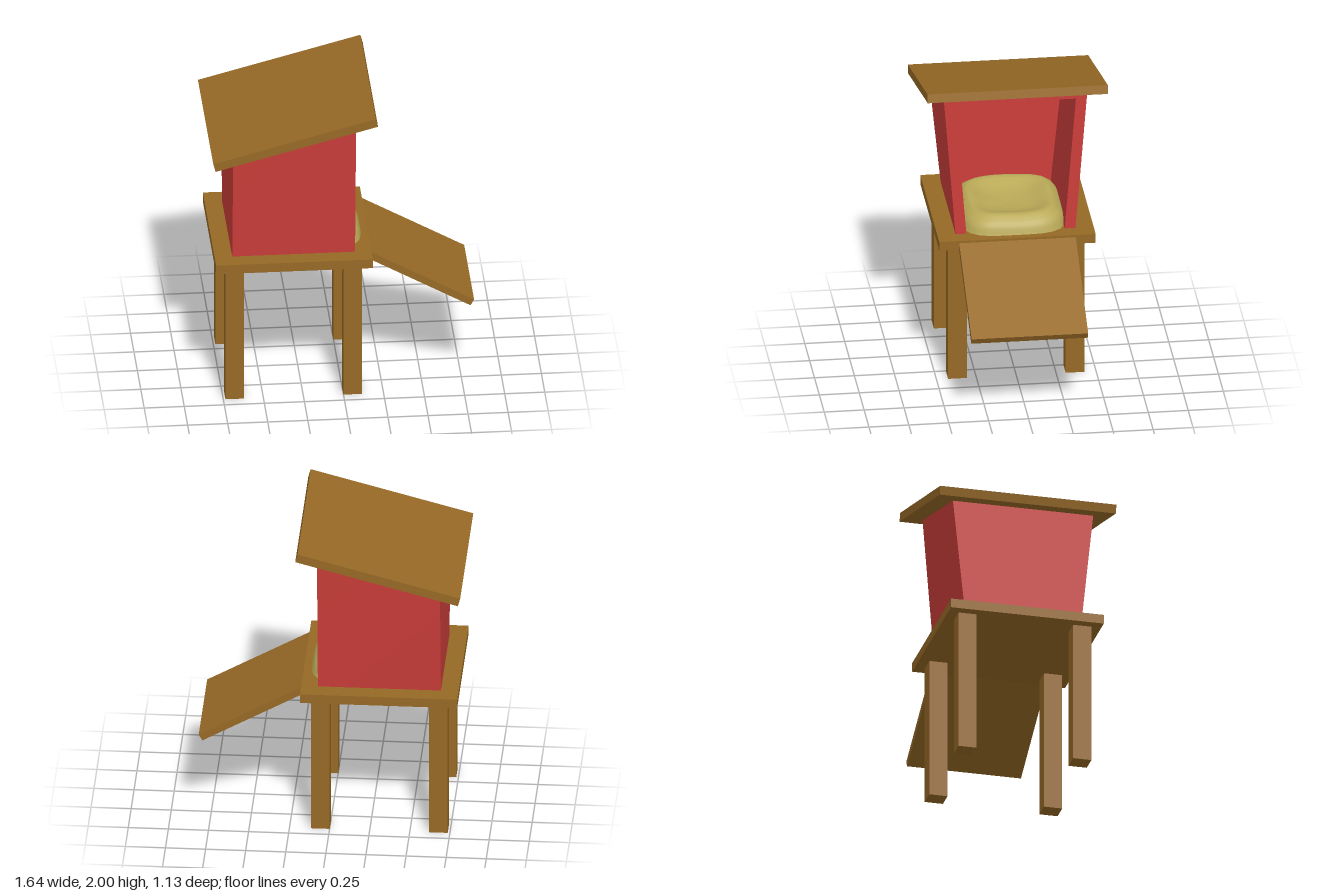
import * as THREE from 'three';
import { ParametricGeometry } from 'three/addons/geometries/ParametricGeometry.js';

const wood = new THREE.MeshStandardMaterial({ color: 0x966926 });
const red = new THREE.MeshStandardMaterial({ color: 0xcc3e3a });
const straw = new THREE.MeshStandardMaterial({ color: 0xb9a957, side: THREE.DoubleSide });

const FLOOR = 0.975, BACK = -0.69, FRONT = 0.077, WALL = 0.068;
const roofLine = x => 1.7 + 0.275 * (x - BACK);
const ceilingLine = x => 1.865 + 0.241 * (x - FRONT);
// Half width of the hut, flaring towards the roof line
const halfWidth = (x, y) => 0.376 + 0.074 * (y - FLOOR) / (roofLine(x) - FLOOR);

export function createModel() {
  const model = new THREE.Group();

  function add(name, geometry, material, x = 0, y = 0, z = 0, tilt = 0) {
    const mesh = new THREE.Mesh(geometry, material);
    mesh.name = name;
    mesh.position.set(x, y, z);
    mesh.rotation.z = tilt;
    model.add(mesh);
    return mesh;
  }

  // A box whose corners (a, b, c, each 0 or 1) are moved by a rule
  function shapedBox(rule) {
    const geometry = new THREE.BoxGeometry(1, 1, 1);
    const p = geometry.attributes.position;
    for (let i = 0; i < p.count; i++) {
      p.setXYZ(i, ...rule(p.getX(i) + 0.5, p.getY(i) + 0.5, p.getZ(i) + 0.5));
    }
    geometry.computeVertexNormals();
    return geometry;
  }

  // Legs and platform
  for (const x of [-0.678, 0.058]) {
    for (const z of [-0.368, 0.368]) {
      add('leg', new THREE.BoxGeometry(0.117, 0.92, 0.117), wood, x, 0.46, z);
    }
  }
  add('platform', new THREE.BoxGeometry(0.98, 0.06, 0.98), wood, -0.31, 0.945, 0);

  // Flaring side walls
  for (const side of [-1, 1]) {
    add('sideWall', shapedBox((a, b, c) => {
      const x = BACK + a * (FRONT - BACK);
      const y = FLOOR + b * (roofLine(x) - FLOOR);
      const outer = side > 0 ? c : 1 - c;
      return [x, y, side * (halfWidth(x, y) - (1 - outer) * WALL)];
    }), red);
  }

  // Back wall and sloping ceiling between the side walls
  add('backWall', shapedBox((a, b, c) => {
    const x = BACK + a * 0.06;
    const y = FLOOR + b * (roofLine(x) - FLOOR);
    return [x, y, (2 * c - 1) * (halfWidth(x, y) - WALL)];
  }), red);
  add('ceiling', shapedBox((a, b, c) => {
    const x = BACK + 0.06 + a * (FRONT - BACK - 0.06);
    const y = b ? roofLine(x) : ceilingLine(x);
    return [x, y, (2 * c - 1) * (halfWidth(x, y) - WALL)];
  }), red);

  // Overhanging roof and entrance ramp
  add('roof', new THREE.BoxGeometry(1.05, 0.056, 1.13), wood, -0.31, 1.8375, 0, 0.262);
  add('ramp', new THREE.BoxGeometry(0.735, 0.046, 0.73), wood, 0.489, 0.76, 0, -0.512);

  // Straw nest: a rounded mound with a lumpy rim and a hollow middle
  const profile = new THREE.SplineCurve([
    [0, 0.05], [0.4, 0.065], [0.72, 0.105], [0.86, 0.085], [0.95, 0.05], [1, 0],
  ].map(p => new THREE.Vector2(...p)));
  const nest = new ParametricGeometry((u, v, target) => {
    const angle = -u * Math.PI * 2, c = Math.cos(angle), s = Math.sin(angle);
    const p = profile.getPoint(v);
    const r = p.x / Math.pow(c ** 4 + s ** 4, 0.25);
    const lump = 1 + 0.13 * Math.sin(3 * angle + 0.7) * Math.sin(2 * angle) * v;
    target.set(r * c * 0.375, Math.max(0, p.y) * lump, r * s * 0.335);
  }, 40, 14);
  add('strawNest', nest, straw, -0.24, FLOOR, 0);

  return model;
}
